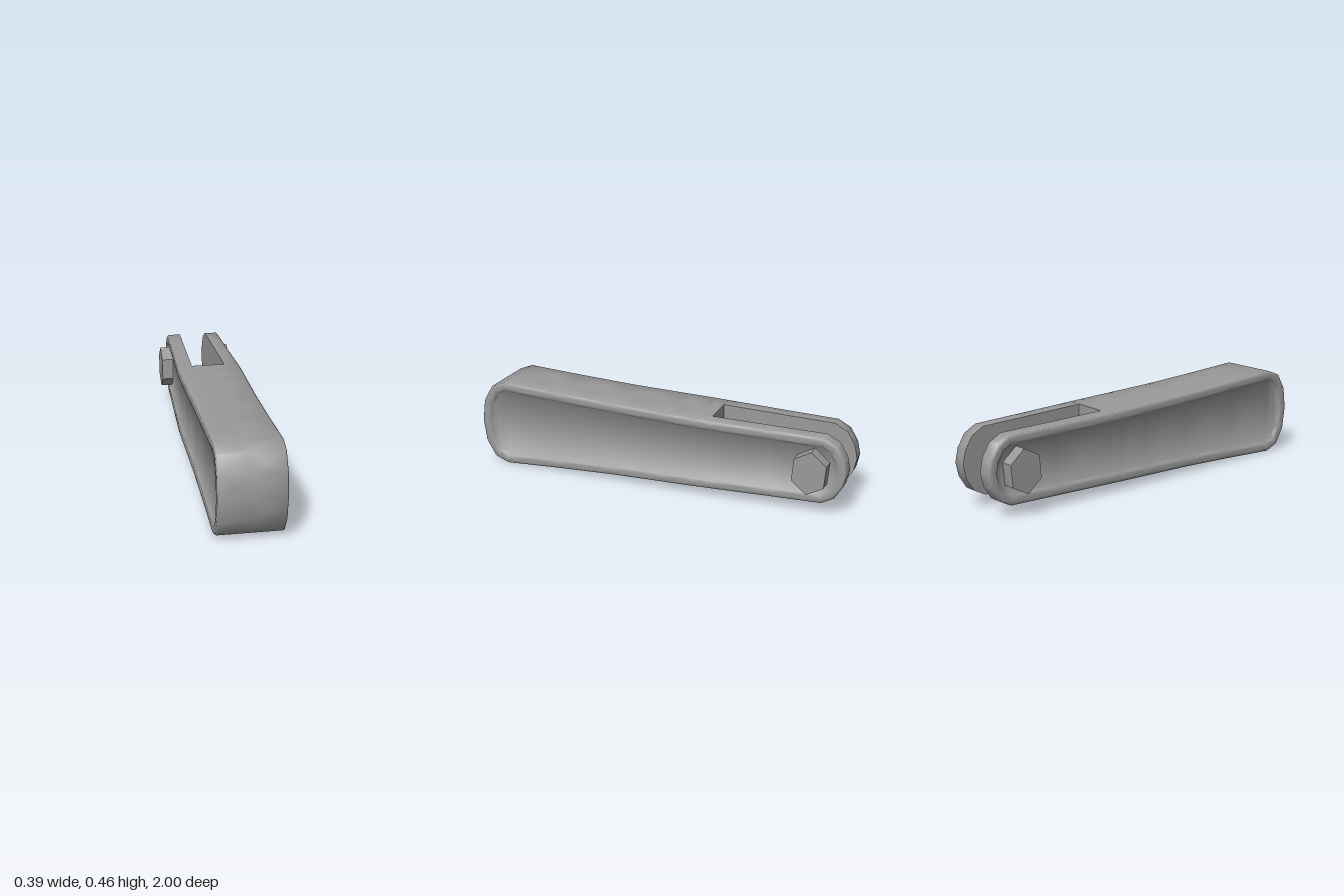
import * as THREE from 'three';
import { toCreasedNormals } from 'three/addons/utils/BufferGeometryUtils.js';

const MID = 0.23;       // height of the centre line
const SLOT_Z = -0.29;   // closed end of the fork slot
const GREY = 0x999999;

// Stations along the arm: z, half height, half width, inner x (0 = solid, else slot wall)
const stations = [
  [1, 0, 0.163, 0], [0.985, 0.115, 0.163, 0], [0.935, 0.2, 0.163, 0], [0.86, 0.23, 0.163, 0],
  [0.55, 0.213, 0.162, 0], [0.24, 0.198, 0.163, 0], [-0.05, 0.189, 0.167, 0], [-0.22, 0.184, 0.169, 0],
  [SLOT_Z, 0.182, 0.168, 0], [SLOT_Z, 0.182, 0.168, 0.088], [-0.6, 0.176, 0.157, 0.081],
  [-0.88, 0.171, 0.148, 0.074], [-0.945, 0.136, 0.147, 0.073], [-0.985, 0.07, 0.147, 0.072], [-1, 0, 0.147, 0.072],
];

// Closed outline: along the top to the back, then along the bottom to the front
const last = stations.length - 1;
const outline = [
  ...stations.map(([z, h, w, inner]) => ({ z, y: h, w, inner })),
  ...stations.slice(1, last).reverse().map(([z, h, w, inner]) => ({ z, y: -h, w, inner })),
];
const N = outline.length;

// Outline moved inward by d, at the x given by a rule
function ring(d, xOf) {
  return outline.map((p, i) => {
    const a = outline[(i + N - 1) % N], b = outline[(i + 1) % N];
    const dz = b.z - a.z, dy = b.y - a.y, len = Math.hypot(dz, dy);
    return new THREE.Vector3(xOf(p), MID + p.y + (dz / len) * d, p.z - (dy / len) * d);
  });
}

function bodyGeometry() {
  const pos = [];
  const tri = (a, b, c, s) => {
    const area = b.clone().sub(a).cross(c.clone().sub(a)).length();
    if (area < 1e-7) return;
    for (const v of s > 0 ? [a, b, c] : [a, c, b]) pos.push(v.x * s, v.y, v.z);
  };
  // Four triangles about the middle keep the smooth normals even
  const quad = (corners, s) => {
    const mid = new THREE.Vector3();
    corners.forEach(c => mid.addScaledVector(c, 0.25));
    corners.forEach((c, i) => tri(c, corners[(i + 1) % 4], mid, s));
  };

  const rings = [
    ring(0, p => p.inner),
    ring(0, p => p.w - 0.007),
    ring(0.007, p => p.w - 0.001),
    ring(0.022, p => p.w),
    ring(0.043, p => p.w - 0.001),
    ring(0.056, p => p.w - 0.018),
  ];
  for (const s of [1, -1]) {
    // Outer wall, rounded rim and recess wall
    for (let r = 0; r < rings.length - 1; r++)
      for (let i = 0; i < N; i++) {
        const j = (i + 1) % N;
        quad([rings[r][i], rings[r + 1][i], rings[r + 1][j], rings[r][j]], s);
      }
    // Recessed panel, and the slot walls on the inside
    const floor = rings[rings.length - 1], inside = rings[0];
    for (let i = 0; i < last; i++) {
      const lo = (N - i) % N, lo2 = N - i - 1;
      quad([floor[i], floor[lo], floor[lo2], floor[i + 1]], s);
      if (stations[i + 1][3] > 0) quad([inside[i], inside[i + 1], inside[lo2], inside[lo]], s);
    }
  }
  const geo = new THREE.BufferGeometry();
  geo.setAttribute('position', new THREE.Float32BufferAttribute(pos, 3));
  return toCreasedNormals(geo, 1.0);
}

export function createModel() {
  const model = new THREE.Group();
  model.name = 'forkedArm';

  const body = new THREE.Mesh(bodyGeometry(), new THREE.MeshStandardMaterial({ color: GREY }));
  body.name = 'armBody';
  model.add(body);

  // Hexagonal bolt heads, a corner near the top, on the outside of each prong
  const boltMaterial = new THREE.MeshStandardMaterial({ color: GREY, flatShading: true });
  const boltGeo = new THREE.CylinderGeometry(0.114, 0.114, 0.085, 6);
  boltGeo.rotateZ(Math.PI / 2);
  boltGeo.rotateX(Math.PI / 6 - 0.1);
  boltGeo.scale(1, 1, 0.83);
  for (const s of [1, -1]) {
    const bolt = new THREE.Mesh(boltGeo, boltMaterial);
    bolt.name = s > 0 ? 'leftBoltHead' : 'rightBoltHead';
    bolt.position.set(s * 0.153, 0.228, -0.825);
    model.add(bolt);
  }
  return model;
}
